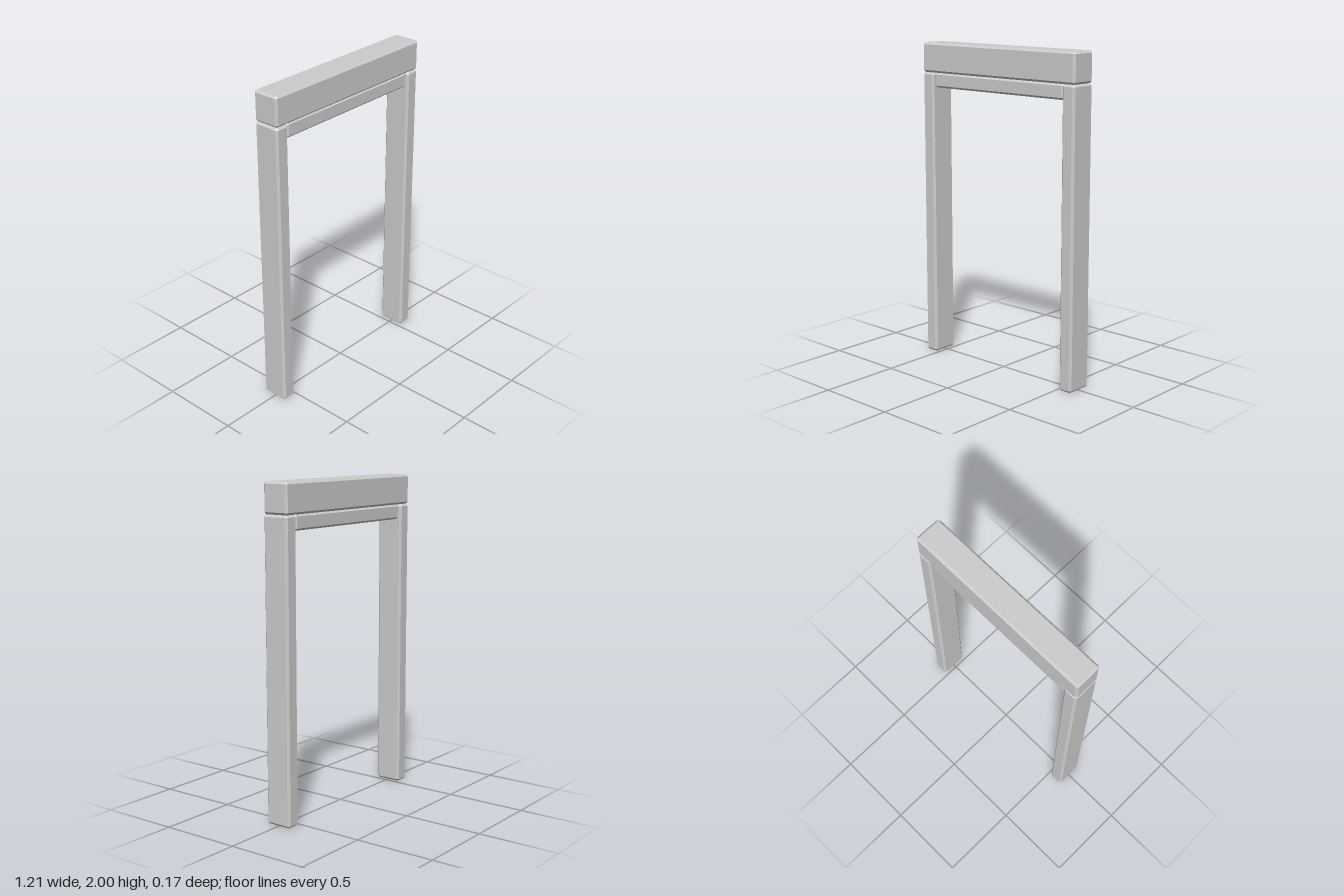
import * as THREE from 'three';
import { ConvexGeometry } from 'three/addons/geometries/ConvexGeometry.js';

const CHAMFER = 0.013;
const material = new THREE.MeshStandardMaterial({ color: 0xcccccc, flatShading: true });

// Box with every edge cut at 45 degrees: each corner becomes three points
function chamferedBeam(name, width, height, depth, x, y, c = CHAMFER) {
  const points = [];
  for (const sx of [-1, 1]) for (const sy of [-1, 1]) for (const sz of [-1, 1]) {
    for (let axis = 0; axis < 3; axis++) {
      const half = [width / 2 - c, height / 2 - c, depth / 2 - c];
      half[axis] += c;
      points.push(new THREE.Vector3(sx * half[0], sy * half[1], sz * half[2]));
    }
  }
  const mesh = new THREE.Mesh(new ConvexGeometry(points), material);
  mesh.name = name;
  mesh.position.set(x, y, 0);
  return mesh;
}

export function createModel() {
  const group = new THREE.Group();
  group.name = 'doorFrame';

  // Lintel across the top
  group.add(chamferedBeam('lintel', 1.21, 0.184, 0.17, 0, 1.908));

  // Upright posts
  for (const side of [-1, 1]) {
    group.add(chamferedBeam(side > 0 ? 'leftPost' : 'rightPost', 0.09, 1.816, 0.17, side * 0.56, 0.908));
  }

  // Slimmer rail tucked between the posts, under the lintel
  group.add(chamferedBeam('innerRail', 1.024, 0.092, 0.146, 0, 1.77, 0.012));

  return group;
}
